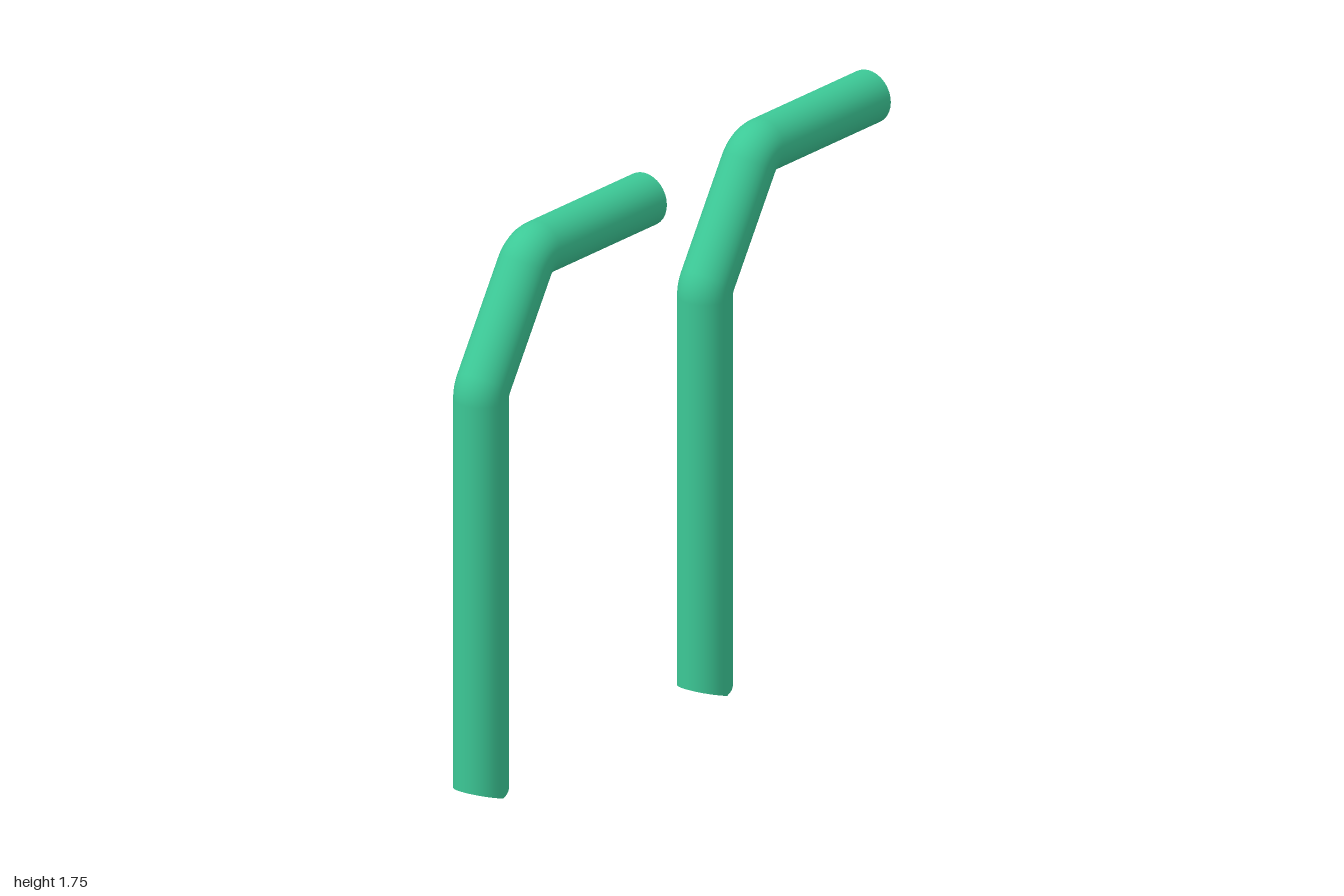
import * as THREE from 'three';

const R = 0.084, SIDES = 32, TIP = 0.025;
const material = new THREE.MeshStandardMaterial({ color: 0x3cc896, side: THREE.DoubleSide });

// Tube swept through rings that hinge about the inner side of each bend,
// giving a sharp inner crease and a rounded outer elbow.
// Each section is [inner x, inner y, direction angle].
function tubeGeometry(sections) {
  const pos = [], nor = [], idx = [], row = SIDES + 1;
  sections.forEach(([px, py, a], i) => {
    const nx = -Math.sin(a), ny = Math.cos(a);
    for (let j = 0; j <= SIDES; j++) {
      const t = (j / SIDES) * Math.PI * 2, c = Math.cos(t), s = Math.sin(t);
      // the bottom rim dips to a ridge along z
      const y = i === 0 ? TIP * Math.abs(c) : py + R * ny * (1 + c);
      pos.push(px + R * nx * (1 + c), y, R * s);
      nor.push(nx * c, ny * c, s);
      if (i > 0 && j < SIDES) {
        const p = (i - 1) * row + j, q = p + row;
        idx.push(p, p + 1, q, p + 1, q + 1, q);
      }
    }
  });
  const g = new THREE.BufferGeometry();
  g.setAttribute('position', new THREE.Float32BufferAttribute(pos, 3));
  g.setAttribute('normal', new THREE.Float32BufferAttribute(nor, 3));
  g.setIndex(idx);
  return g;
}

// Wedge-shaped cap closing the foot of the post
function footGeometry() {
  const disc = new THREE.CircleGeometry(R, SIDES).rotateX(Math.PI / 2);
  const p = disc.attributes.position;
  for (let i = 0; i < p.count; i++) p.setY(i, TIP * Math.abs(p.getX(i)) / R);
  const g = disc.toNonIndexed();
  g.computeVertexNormals();
  return g;
}

export function createModel() {
  const innerX = -1 + 2 * R;
  const lower = [innerX, 1.265], upper = [-0.63, 1.58], endX = -0.107;
  const up = Math.PI / 2;
  const slope = Math.atan2(upper[1] - lower[1], upper[0] - lower[0]);

  // Post, lower elbow, sloping run, upper elbow, open horizontal arm
  const sections = [[innerX, 0, up]];
  const STEPS = 8;
  for (let k = 0; k <= STEPS; k++) sections.push([...lower, up + (slope - up) * k / STEPS]);
  for (let k = 0; k <= STEPS; k++) sections.push([...upper, slope * (1 - k / STEPS)]);
  sections.push([endX, upper[1], 0]);

  const tube = tubeGeometry(sections), foot = footGeometry();
  const model = new THREE.Group();
  model.name = 'bentPipes';

  // Two identical pipes side by side
  ['rightPipe', 'leftPipe'].forEach((name, i) => {
    const pipe = new THREE.Group();
    pipe.name = name;
    const body = new THREE.Mesh(tube, material);
    body.name = 'bentTube';
    const cap = new THREE.Mesh(foot, material);
    cap.name = 'footCap';
    cap.position.x = -1 + R;
    pipe.add(body, cap);
    pipe.position.x = i * (1 - endX);
    model.add(pipe);
  });
  return model;
}
